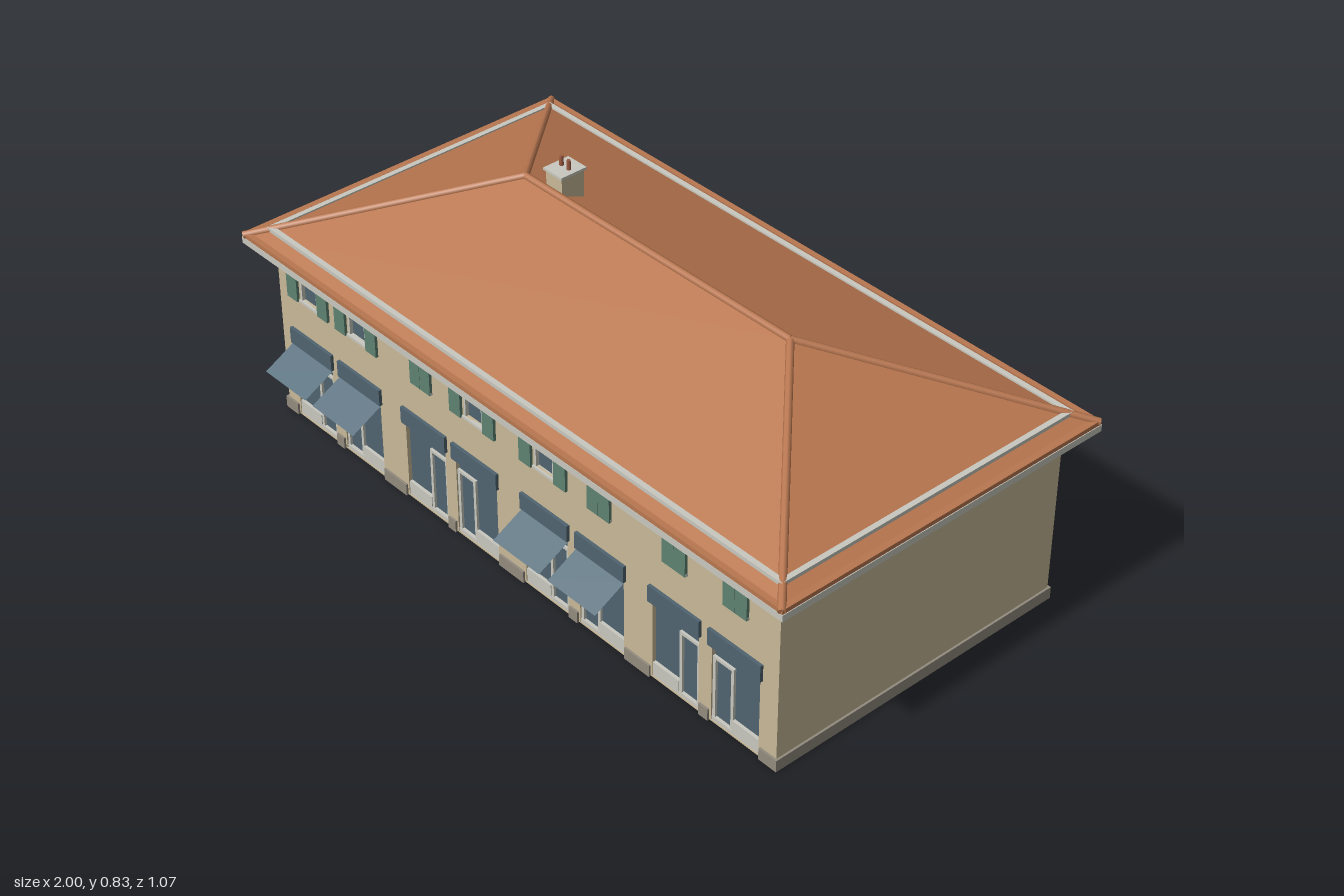
import * as THREE from 'three';

const mat = (name, color, side = THREE.FrontSide) => {
  const m = new THREE.MeshStandardMaterial({ color, side });
  m.name = name;
  return m;
};

export function createModel() {
  const M = {
    wall: mat('cream render', 0xc9b997),
    roof: mat('terracotta', 0xb97750, THREE.DoubleSide),
    trim: mat('pale trim', 0xc8c8c0),
    plinth: mat('grey stone', 0x928a7e),
    glass: mat('slate glass', 0x4f6470),
    awning: mat('awning cloth', 0x566e7c, THREE.DoubleSide),
    shutter: mat('green shutter', 0x5f8272),
    pot: mat('clay pot', 0x9c5a40),
  };

  const model = new THREE.Group();
  model.name = 'shopTerrace';
  const house = new THREE.Group();
  house.name = 'house';
  house.position.z = -0.018;
  model.add(house);

  const add = (name, geo, material, parent = house) => {
    const m = new THREE.Mesh(geo, material);
    m.name = name;
    parent.add(m);
    return m;
  };
  // Box given by its limits
  const box = (name, x0, x1, y0, y1, z0, z1, material, parent) => {
    const m = add(name, new THREE.BoxGeometry(x1 - x0, y1 - y0, z1 - z0), material, parent);
    m.position.set((x0 + x1) / 2, (y0 + y1) / 2, (z0 + z1) / 2);
    return m;
  };
  const trace = (path, x0, x1, y0, y1) =>
    path.moveTo(x0, y0).lineTo(x1, y0).lineTo(x1, y1).lineTo(x0, y1).closePath();
  // Flat rectangular ring lying level between two heights
  const ring = (name, ox, oz, ix, iz, y0, y1, material) => {
    const s = trace(new THREE.Shape(), -ox, ox, -oz, oz);
    s.holes.push(trace(new THREE.Path(), -ix, ix, -iz, iz));
    const g = new THREE.ExtrudeGeometry(s, { depth: y1 - y0, bevelEnabled: false });
    g.rotateX(-Math.PI / 2);
    g.translate(0, y0, 0);
    return add(name, g, material);
  };

  const W = 0.936, D = 0.457, T = 0.018;      // wall half width, half depth, thickness
  const WALL_TOP = 0.54;
  const EX = 0.995, EZ = 0.515, EY = 0.54;    // eaves
  const RX = 0.478, RY = 0.745;               // ridge

  const bays = [-0.805, -0.602, -0.338, -0.137, 0.129, 0.332, 0.593, 0.797];
  const openWindows = [0, 1, 3, 4];
  const awningBays = [0, 1, 4, 5];
  const backX = [-0.8, -0.612, 0.612, 0.8];
  const winW = 0.036;
  const upper = [0.392, 0.507], lower = [0.085, 0.2];

  // Long walls with their openings
  const wallWithHoles = (name, holes, z) => {
    const s = trace(new THREE.Shape(), -W, W, 0.002, WALL_TOP);
    holes.forEach(h => s.holes.push(trace(new THREE.Path(), ...h)));
    const g = new THREE.ExtrudeGeometry(s, { depth: T, bevelEnabled: false });
    g.translate(0, 0, z);
    add(name, g, M.wall);
  };
  wallWithHoles('frontWall', bays.flatMap(x => [
    [x - 0.08, x + 0.08, 0.006, 0.228],
    [x - winW, x + winW, ...upper],
  ]), D - T);
  wallWithHoles('backWall', backX.flatMap(x => [upper, lower].map(
    y => [x - winW, x + winW, ...y])), -D);
  for (const s of [-1, 1]) {
    const a = s * W, b = s * (W - T);
    box('sideWall', Math.min(a, b), Math.max(a, b), 0.002, WALL_TOP, -D + T, D - T, M.wall);
    const c = s * (W + 0.006);
    box('sidePlinth', Math.min(a, c), Math.max(a, c), 0, 0.034, -D - 0.006, D + 0.006, M.plinth);
  }
  box('backPlinth', -W, W, 0, 0.034, -D - 0.006, -D, M.plinth);

  // Front plinth fills the gaps between shops
  let start = -W;
  [...bays, W + 0.086].forEach(x => {
    box('frontPlinth', start, x - 0.086, 0, 0.034, D, D + 0.006, M.plinth);
    start = x + 0.086;
  });

  // Framed window; dir is the outward z direction
  const makeWindow = (x, [y0, y1], dir) => {
    const g = new THREE.Group();
    g.name = 'window';
    g.position.set(x, 0, dir * D);
    if (dir < 0) g.rotation.y = Math.PI;
    house.add(g);
    const f = 0.006;
    box('windowGlass', -winW, winW, y0, y1, -0.014, -0.009, M.glass, g);
    for (const s of [-1, 1]) {
      const e = s * (winW - f / 2);
      box('windowJamb', e - f / 2, e + f / 2, y0, y1, -0.012, 0.001, M.trim, g);
    }
    box('windowSill', -winW - 0.004, winW + 0.004, y0 - 0.007, y0, -0.012, 0.006, M.trim, g);
    box('windowHead', -winW, winW, y1 - f, y1, -0.012, 0.001, M.trim, g);
  };
  backX.forEach(x => [upper, lower].forEach(y => makeWindow(x, y, -1)));

  bays.forEach((x, i) => {
    makeWindow(x, upper, 1);

    // Shutters folded back beside the window, or closed over it
    const sx = openWindows.includes(i) ? 0.064 : 0.02;
    const half = openWindows.includes(i) ? 0.0215 : 0.0195;
    for (const s of [-1, 1]) {
      box('shutter', x + s * sx - half, x + s * sx + half, 0.384, 0.513, D + 0.001, D + 0.009, M.shutter);
    }

    // Shopfront, with the doors of each pair side by side
    const g = new THREE.Group();
    g.name = 'shopfront';
    g.position.set(x, 0, D);
    house.add(g);
    const m = i % 2 ? -1 : 1;
    const part = (name, a, b, ...rest) =>
      box(name, Math.min(a * m, b * m), Math.max(a * m, b * m), ...rest, g);
    part('shopGlass', -0.08, 0.08, 0.006, 0.228, -0.016, -0.011, M.glass);
    part('stallRiser', -0.08, 0.01, 0.006, 0.047, -0.011, -0.002, M.trim);
    part('doorStep', 0.01, 0.08, 0.006, 0.016, -0.011, -0.002, M.trim);
    part('doorPost', 0.01, 0.019, 0.016, 0.2, -0.011, -0.004, M.trim);
    part('doorPost', 0.071, 0.08, 0.016, 0.2, -0.011, -0.004, M.trim);
    part('doorHead', 0.019, 0.071, 0.192, 0.2, -0.011, -0.004, M.trim);
    part('signBoard', -0.088, 0.088, 0.235, 0.283, 0, 0.009, M.glass);

    // Sloping awning sheet
    if (awningBays.includes(i)) {
      const run = 0.093, drop = 0.05;
      const sheet = add('awning', new THREE.PlaneGeometry(0.172, Math.hypot(run, drop)), M.awning, g);
      sheet.rotation.x = -Math.atan2(run, drop);
      sheet.position.set(0, 0.208, 0.002 + run / 2);
    }
  });

  // Hipped roof
  const [fl, fr, br, bl] = [[-EX, EY, EZ], [EX, EY, EZ], [EX, EY, -EZ], [-EX, EY, -EZ]];
  const rl = [-RX, RY, 0], rr = [RX, RY, 0];
  const tris = [fl, fr, rr, fl, rr, rl, br, bl, rl, br, rl, rr, fr, br, rr, bl, fl, rl];
  const roof = new THREE.BufferGeometry();
  roof.setAttribute('position', new THREE.Float32BufferAttribute(tris.flat(), 3));
  roof.computeVertexNormals();
  add('roof', roof, M.roof);

  // Ridge and hip tiles
  const tile = (name, p, q) => {
    const a = new THREE.Vector3(...p), b = new THREE.Vector3(...q);
    const m = add(name, new THREE.CylinderGeometry(0.01, 0.01, a.distanceTo(b), 8), M.roof);
    m.position.copy(a).add(b).multiplyScalar(0.5);
    m.quaternion.setFromUnitVectors(new THREE.Vector3(0, 1, 0), b.sub(a).normalize());
  };
  tile('ridgeTiles', rl, rr);
  [[fl, rl], [bl, rl], [fr, rr], [br, rr]].forEach(([p, q]) => tile('hipTiles', p, q));

  // Eaves: tile edge, fascia with soffit, and the pale rail on the slopes
  ring('eavesTiles', EX + 0.003, EZ + 0.001, EX - 0.015, EZ - 0.015, 0.534, 0.546, M.roof);
  ring('soffit', 1, 0.517, W - 0.002, D - 0.002, 0.515, 0.534, M.trim);
  ring('snowRail', 0.95, 0.472, 0.935, 0.457, 0.553, 0.568, M.trim);

  // Chimney
  box('chimneyStack', -0.405, -0.345, 0.69, 0.793, -0.079, -0.007, M.wall);
  box('chimneyCap', -0.41, -0.34, 0.793, 0.8, -0.084, -0.002, M.trim);
  for (const x of [-0.389, -0.361]) {
    const pot = add('chimneyPot', new THREE.CylinderGeometry(0.005, 0.006, 0.027, 10), M.pot);
    pot.position.set(x, 0.8135, -0.044);
  }

  return model;
}
